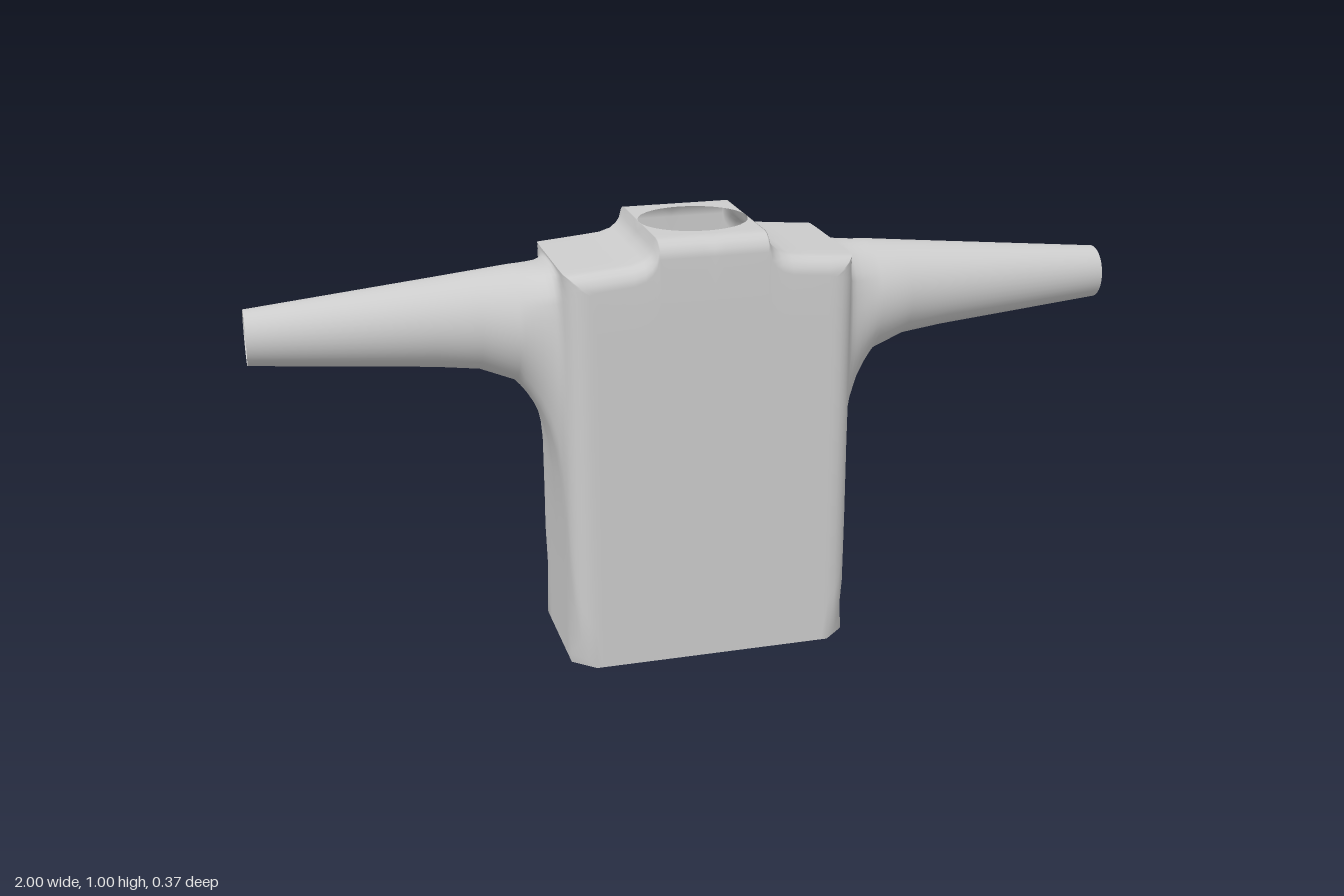
import * as THREE from 'three';
import { mergeVertices } from 'three/addons/utils/BufferGeometryUtils.js';

const { lerp } = THREE.MathUtils;
const TOP = 3, ARC = 4, WALL = 9, HEM = 4;      // segments of each stretch of a section
const FRONT = TOP + ARC + WALL, ALL = FRONT + HEM;
const DEPTH = 0.185, ROUND = 0.04;

// Side outline of the torso in plan, with rounded vertical corners
function sideX(z) {
  const d = Math.max(0, z - 0.135);
  return 0.28 + Math.sqrt(Math.max(0, 0.0025 - d * d));
}

// Half section of the torso: neck edge, over the shoulder, down the front to the hem
function torsoSection(x, height, zIn) {
  const pts = [];
  for (let j = 0; j <= TOP; j++) pts.push([x, height, lerp(zIn, DEPTH - ROUND, j / TOP)]);
  for (let j = 1; j <= ARC; j++) {
    const a = (j / ARC) * Math.PI / 2;
    pts.push([x, height - ROUND * (1 - Math.cos(a)), DEPTH - ROUND * (1 - Math.sin(a))]);
  }
  for (let j = 1; j <= WALL; j++) pts.push([x, (height - ROUND) * (1 - j / WALL), DEPTH]);
  return pts;
}

// Half ellipse of the sleeve, from top to underside
function sleeveSection(x, top, bottom, depth) {
  return Array.from({ length: ALL + 1 }, (_, j) => {
    const a = (j / ALL) * Math.PI;
    return [x, (top + bottom) / 2 + Math.cos(a) * (top - bottom) / 2, Math.sin(a) * depth];
  });
}

function createQuarter() {
  // Torso stations from the middle out, with the elliptical neck opening
  const torso = [];
  for (let i = 0; i <= 8; i++) {
    const a = (i / 8) * Math.PI / 2;
    torso.push(torsoSection(0.125 * Math.sin(a), 1, i === 8 ? 0 : 0.115 * Math.cos(a)));
  }
  for (const [x, h] of [[0.13, 0.98], [0.14, 0.965], [0.155, 0.953], [0.18, 0.945], [0.22, 0.941], [0.265, 0.937]])
    torso.push(torsoSection(x, h, 0));

  // Outline where the torso turns to its side, closed along the side hem
  const side = torsoSection(0, 0.932, 0);
  for (let j = 1; j <= HEM; j++) side.push([0, 0, DEPTH * (1 - j / HEM)]);
  side.forEach(p => { p[0] = sideX(p[2]); });
  torso.push(side.slice(0, FRONT + 1));

  // Side panel flaring from that outline into the armhole
  const armhole = sleeveSection(0.42, 0.922, 0.66, 0.115);
  const sleeve = [side];
  for (const t of [0.97, 0.9, 0.8, 0.67, 0.5, 0.35, 0.25, 0.17, 0.1, 0.05, 0.02])
    sleeve.push(side.map((p, j) => {
      const y = lerp(armhole[j][1], p[1], t), z = lerp(armhole[j][2], p[2], t);
      return [sideX(z) + 0.09 * (1 - t) ** 7, y, z];
    }));

  // Tapering sleeve, open at the cuff
  sleeve.push(armhole,
    sleeveSection(0.5, 0.914, 0.693, 0.1),
    sleeveSection(0.6, 0.904, 0.706, 0.09),
    sleeveSection(1, 0.865, 0.742, 0.057));
  return [torso, sleeve];
}

export function createModel() {
  const group = new THREE.Group();
  group.name = 'shirt';
  const fabric = new THREE.MeshStandardMaterial({ color: 0xcccccc, side: THREE.DoubleSide });
  fabric.name = 'grey fabric';

  // Mirror the quarter left/right and front/back into one continuous shell
  const pos = [];
  for (const sx of [1, -1]) for (const sz of [1, -1]) {
    const tri = (a, b, c) => {
      for (const p of sx * sz > 0 ? [a, b, c] : [a, c, b]) pos.push(p[0] * sx, p[1], p[2] * sz);
    };
    for (const rows of createQuarter())
      for (let i = 0; i < rows.length - 1; i++)
        for (let j = 0; j < rows[i].length - 1; j++) {
          const a = rows[i][j], b = rows[i][j + 1], c = rows[i + 1][j + 1], d = rows[i + 1][j];
          tri(a, b, d);
          tri(b, c, d);
        }
  }
  let geometry = new THREE.BufferGeometry();
  geometry.setAttribute('position', new THREE.Float32BufferAttribute(pos, 3));
  geometry = mergeVertices(geometry, 1e-5);
  geometry.computeVertexNormals();

  const shell = new THREE.Mesh(geometry, fabric);
  shell.name = 'shirtBodyAndSleeves';
  group.add(shell);
  return group;
}
